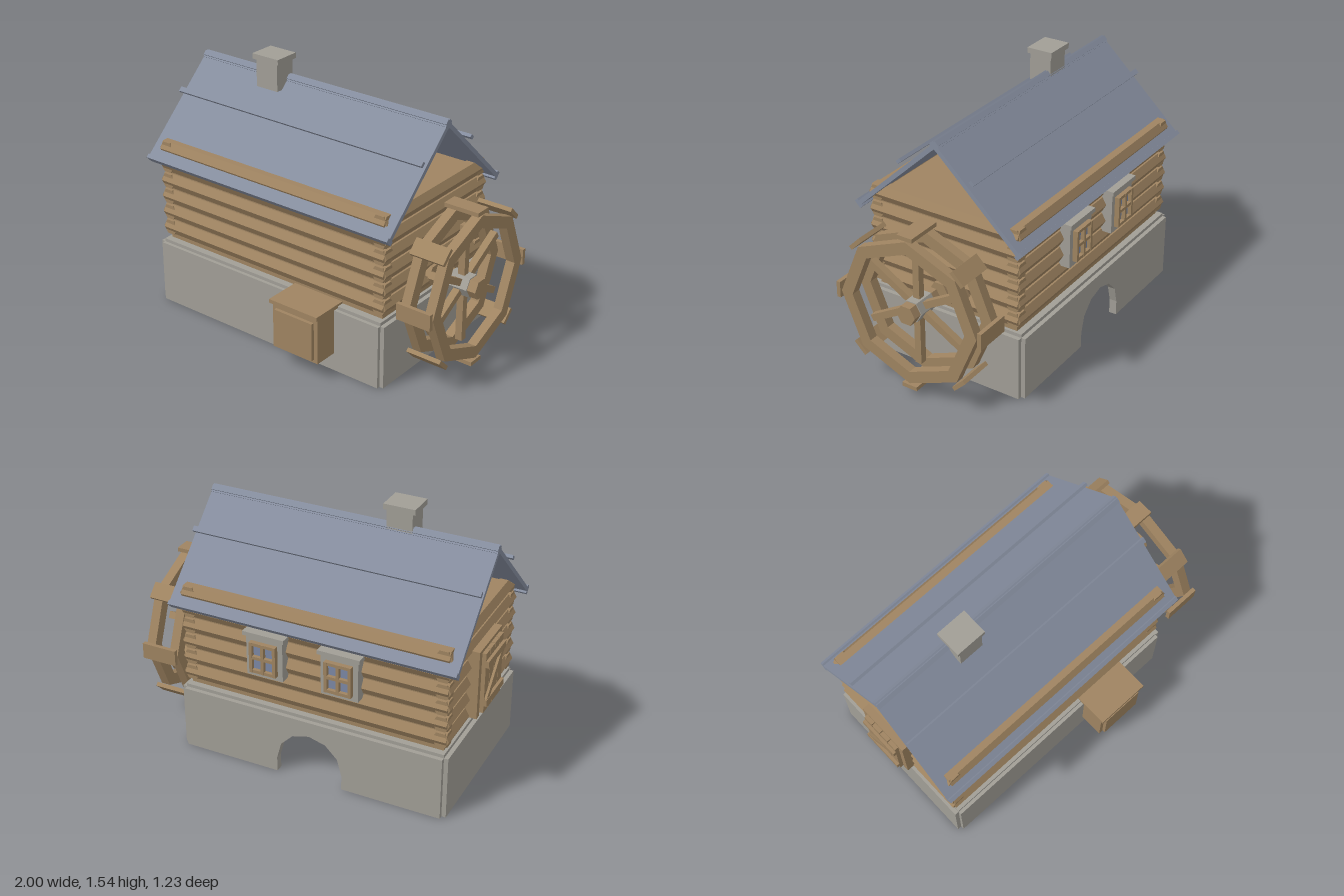
import * as THREE from 'three';

const material = (name, color) => {
  const m = new THREE.MeshStandardMaterial({ color });
  m.name = name;
  return m;
};

export function createModel() {
  const stone = material('stone', 0xa19e96);
  const wood = material('wood', 0x9f8461);
  const slate = material('roofSlate', 0x858d9e);
  const glass = material('windowGlass', 0x7b88a4);

  const model = new THREE.Group();
  model.name = 'watermill';

  const group = (name, parent = model) => {
    const g = new THREE.Group();
    g.name = name;
    parent.add(g);
    return g;
  };
  const add = (name, geo, mat, parent) => {
    const mesh = new THREE.Mesh(geo, mat);
    mesh.name = name;
    parent.add(mesh);
    return mesh;
  };
  // Box given by its min and max on each axis
  const box = (name, mat, [x0, x1], [y0, y1], [z0, z1], parent) => {
    const mesh = add(name, new THREE.BoxGeometry(x1 - x0, y1 - y0, z1 - z0), mat, parent);
    mesh.position.set((x0 + x1) / 2, (y0 + y1) / 2, (z0 + z1) / 2);
    return mesh;
  };
  // Faceted six-sided bar lying along x, with a corner facing +z and -z
  const hexBar = (radius, length) => {
    const g = new THREE.CylinderGeometry(radius, radius, length, 6).rotateZ(Math.PI / 2).toNonIndexed();
    g.computeVertexNormals();
    return g;
  };

  const CX = -0.1125, CZ = -0.0625; // middle of the house

  // Hollow stone base, open below, with stepped corners
  const base = group('stoneBase');
  const bx = [-0.9, 0.675], bz = [-0.55, 0.43];
  box('baseTop', stone, bx, [0.35, 0.4], bz, base);
  box('baseFront', stone, bx, [0, 0.38], [0.405, 0.45], base);
  box('baseRight', stone, [-0.925, -0.88], [0, 0.38], bz, base);
  box('baseLeft', stone, [0.655, 0.7], [0, 0.38], bz, base);

  // Back wall with an arched water outlet
  const wall = new THREE.Shape();
  wall.moveTo(bx[0], 0);
  wall.lineTo(CX - 0.2, 0);
  for (let i = 0; i <= 6; i++) {
    const a = Math.PI * (1 - i / 6);
    wall.lineTo(CX + 0.2 * Math.cos(a), 0.09 + 0.2 * Math.sin(a));
  }
  wall.lineTo(CX + 0.2, 0);
  wall.lineTo(bx[1], 0);
  wall.lineTo(bx[1], 0.38);
  wall.lineTo(bx[0], 0.38);
  const backWall = new THREE.ExtrudeGeometry(wall, { depth: 0.045, bevelEnabled: false });
  add('baseBackArch', backWall.translate(0, 0, -0.575), stone, base);

  // Log walls around a plain core
  const house = group('logHouse');
  box('wallCore', wood, [CX - 0.77, CX + 0.77], [0.4, 1.0], [CZ - 0.45, CZ + 0.45], house);
  const longLog = hexBar(0.05, 1.585);
  const shortLog = hexBar(0.05, 0.945).rotateY(Math.PI / 2);
  for (let i = 0; i < 6; i++) {
    const y = 0.475 + i * 0.1;
    for (const s of [-1, 1]) {
      add('longLog', longLog, wood, house).position.set(CX, y, CZ + s * 0.4355);
      add('crossLog', shortLog, wood, house).position.set(CX + s * 0.756, y, CZ);
    }
  }

  // Open gabled roof: two slabs with ridge, eave and raised battens
  const roof = group('roof');
  const rx = [-0.8525, 0.8525];
  for (const s of [-1, 1]) {
    const slope = group('roofSlope', roof);
    slope.position.set(CX, 1.395, -0.06);
    slope.rotation.x = s * 0.755;
    const strip = (name, from, to, y) =>
      box(name, slate, rx, y, s > 0 ? [from, to] : [-to, -from], slope);
    strip('roofSlab', 0, 0.71, [-0.0125, 0.0125]);
    strip('ridgeStrip', -0.025, 0.025, [-0.014, 0.016]);
    strip('raisedBatten', 0.255, 0.285, [0.039, 0.058]);
    strip('eaveStrip', 0.69, 0.715, [-0.025, 0.025]);
  }

  // Chimney
  const chimney = group('chimney');
  box('chimneyStack', stone, [-0.485, -0.335], [1.345, 1.51], [-0.085, 0.05], chimney);
  box('chimneyCap', stone, [-0.505, -0.32], [1.508, 1.54], [-0.098, 0.06], chimney);

  // Wooden chest on the front of the base
  const chest = group('frontChest');
  box('chestBody', wood, [0.07, 0.38], [0.11, 0.39], [0.39, 0.595], chest);
  box('chestPanel', wood, [0.095, 0.355], [0.13, 0.36], [0.595, 0.615], chest);
  box('chestLid', wood, [0.06, 0.39], [0.39, 0.413], [0.39, 0.615], chest);

  // Back windows: stone surround, glass and wooden bars
  for (const x of [-0.305, 0.145]) {
    const win = group('window');
    win.position.set(x, 0.73, 0);
    box('windowSurround', stone, [-0.11, 0.11], [-0.125, 0.125], [-0.585, -0.52], win);
    box('windowCap', stone, [-0.125, 0.125], [0.122, 0.146], [-0.6, -0.52], win);
    box('windowGlass', glass, [-0.075, 0.075], [-0.09, 0.09], [-0.591, -0.584], win);
    for (const p of [-1, 0, 1]) {
      box('windowUpright', wood, [p * 0.071 - 0.009, p * 0.071 + 0.009], [-0.093, 0.093], [-0.614, -0.584], win);
      box('windowCrossbar', wood, [-0.08, 0.08], [p * 0.084 - 0.009, p * 0.084 + 0.009], [-0.612, -0.584], win);
    }
  }

  // Plank door with frame and Z brace on the end wall
  const door = group('door');
  door.position.z = -0.09;
  for (const s of [-1, 1]) {
    box('doorPost', wood, [-0.96, -0.88], [0.465, 0.875], [s * 0.145 - 0.018, s * 0.145 + 0.018], door);
    box('doorBrace', wood, [-1.0, -0.982], [0.675 + s * 0.12 - 0.02, 0.675 + s * 0.12 + 0.02], [-0.128, 0.128], door);
  }
  box('doorLintel', wood, [-0.96, -0.88], [0.845, 0.88], [-0.163, 0.163], door);
  box('doorBack', wood, [-0.95, -0.88], [0.465, 0.85], [-0.13, 0.13], door);
  for (let i = 0; i < 4; i++) {
    const z = -0.0975 + i * 0.065;
    box('doorPlank', wood, [-0.983, -0.945], [0.49, 0.86], [z - 0.03, z + 0.03], door);
  }
  const diagonal = box('doorDiagonal', wood, [-0.997, -0.982], [0.52, 0.83], [-0.018, 0.018], door);
  diagonal.rotation.x = 0.78;

  // Water wheel, turning about x
  const wheel = group('waterWheel');
  wheel.position.set(0.88, 0.51, -0.04);
  const octagon = (r) => Array.from({ length: 8 }, (_, i) =>
    new THREE.Vector2(r * Math.cos(i * Math.PI / 4), r * Math.sin(i * Math.PI / 4)));
  const rimShape = new THREE.Shape(octagon(0.437));
  rimShape.holes.push(new THREE.Path(octagon(0.363)));
  const rim = new THREE.ExtrudeGeometry(rimShape, { depth: 0.055, bevelEnabled: false })
    .translate(0, 0, -0.0275).rotateY(Math.PI / 2);
  for (const s of [-1, 1]) add('wheelRim', rim, wood, wheel).position.x = s * 0.0765;

  // Paddles at the rim corners, spokes from the hub
  const radial = (name, count, size, r) => {
    for (let i = 0; i < count; i++) {
      const a = i * 2 * Math.PI / count;
      const m = add(name, new THREE.BoxGeometry(...size), wood, wheel);
      m.position.set(0, r * Math.cos(a), r * Math.sin(a));
      m.rotation.x = a;
    }
  };
  radial('paddle', 8, [0.214, 0.024, 0.096], 0.457);
  radial('spoke', 6, [0.042, 0.32, 0.04], 0.193);
  add('hubSleeve', hexBar(0.066, 0.13), stone, wheel);
  add('hub', hexBar(0.06, 0.235), wood, wheel);

  // Short axle stub in the wall behind the wheel
  add('axleStub', hexBar(0.058, 0.1), wood, model).position.set(0.652, 0.505, -0.04);

  return model;
}
